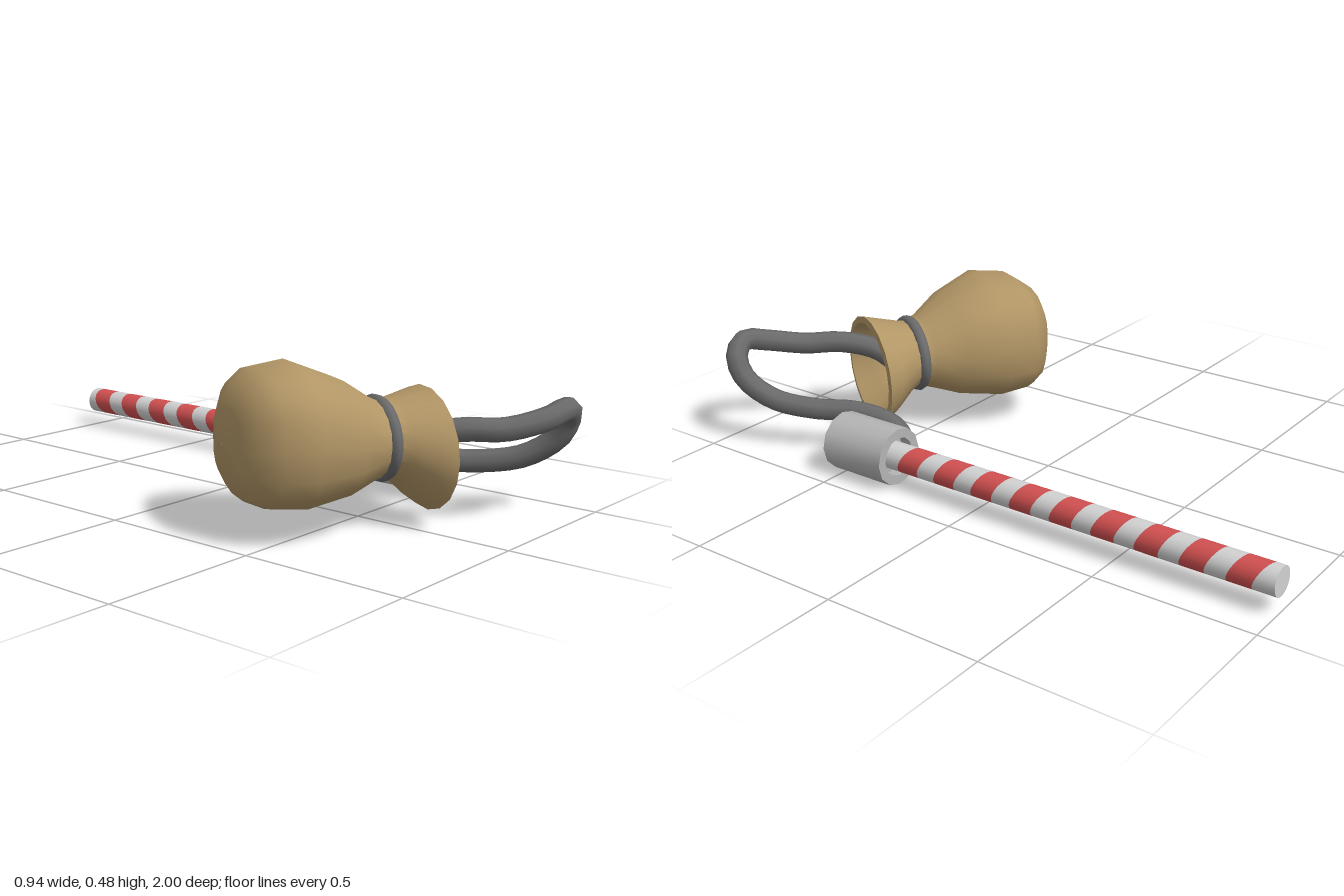
import * as THREE from 'three';
import { toCreasedNormals } from 'three/addons/utils/BufferGeometryUtils.js';

const mat = (name, color, side = THREE.FrontSide) => {
  const m = new THREE.MeshStandardMaterial({ color, side });
  m.name = name;
  return m;
};

function part(parent, name, geometry, material) {
  const mesh = new THREE.Mesh(geometry, material);
  mesh.name = name;
  parent.add(mesh);
  return mesh;
}

// Skin over rounded-square sections along x: [x, centreY, halfHeight, halfWidth, exponent]
function loft(sections, sides) {
  const pos = [], index = [];
  for (const [x, cy, ry, rz, n] of sections) {
    for (let j = 0; j < sides; j++) {
      const a = (j / sides) * Math.PI * 2;
      const bend = (t) => Math.sign(t) * Math.pow(Math.abs(t), 2 / n);
      pos.push(x, cy + ry * bend(Math.sin(a)), rz * bend(Math.cos(a)));
    }
  }
  for (let i = 0; i < sections.length - 1; i++) {
    for (let j = 0; j < sides; j++) {
      const k = (j + 1) % sides;
      const a = i * sides + j, b = i * sides + k, c = a + sides, d = b + sides;
      index.push(a, c, b, b, c, d);
    }
  }
  const g = new THREE.BufferGeometry();
  g.setAttribute('position', new THREE.Float32BufferAttribute(pos, 3));
  g.setIndex(index);
  return toCreasedNormals(g, 0.9);
}

// Rod band between two z positions; each end can be cut on a slant
function band(r, z0, z1, slant0, slant1, open) {
  const g = new THREE.CylinderGeometry(r, r, 1, 20, 1, open).rotateX(Math.PI / 2);
  const p = g.attributes.position;
  for (let i = 0; i < p.count; i++) {
    const x = p.getX(i), y = p.getY(i);
    const shift = (0.012 * x - 0.018 * y) / r;
    p.setZ(i, p.getZ(i) < 0 ? z0 + slant0 * shift : z1 + slant1 * shift);
  }
  return g;
}

export function createModel() {
  const model = new THREE.Group();
  model.name = 'stripedRodWithPouch';
  const tan = mat('tanCloth', 0xb29666, THREE.DoubleSide);
  const cordGrey = mat('cordGrey', 0x6a6a6a);
  const capGrey = mat('capGrey', 0xb5b5b5);
  const white = mat('rodWhite', 0xd2d2d2);
  const red = mat('rodRed', 0xd25050);

  // Striped rod
  const rod = new THREE.Group();
  rod.name = 'rod';
  rod.position.set(0.37, 0.094, 0);
  model.add(rod);
  const pitch = 0.141, half = 0.038, count = 9;
  let front = 0.345;
  for (let i = 0; i < count; i++) {
    const c = 0.215 - i * pitch;
    part(rod, 'whiteBand', band(0.044, c + half, front, 1, i ? 1 : 0, true), white);
    part(rod, 'redBand', band(0.044, c - half, c + half, 1, 1, true), red);
    front = c - half;
  }
  part(rod, 'rodTip', band(0.044, -1, front, 0, 1, false), white);

  // End cap with a shallow socket for the rod
  const profile = [[0, 0.34], [0.062, 0.34], [0.062, 0.3], [0.092, 0.3], [0.092, 0.53], [0, 0.53]]
    .map(([x, y]) => new THREE.Vector2(x, y));
  const capGeo = new THREE.LatheGeometry(profile, 12).rotateX(Math.PI / 2);
  const cap = part(model, 'endCap', toCreasedNormals(capGeo, 0.9), capGrey);
  cap.position.set(0.37, 0.093, 0);

  // Cord from the pouch mouth round to the back of the cap
  const path = new THREE.CatmullRomCurve3([
    [0, 0.21, 0.62], [0.035, 0.26, 0.68], [0.1, 0.285, 0.78], [0.18, 0.285, 0.87],
    [0.28, 0.31, 0.945], [0.36, 0.33, 0.965], [0.415, 0.295, 0.945], [0.42, 0.23, 0.91],
    [0.385, 0.165, 0.82], [0.325, 0.14, 0.7], [0.26, 0.138, 0.57], [0.237, 0.118, 0.45],
    [0.265, 0.085, 0.37], [0.32, 0.075, 0.36],
  ].map((p) => new THREE.Vector3(...p)));
  part(model, 'cord', new THREE.TubeGeometry(path, 40, 0.035, 8), cordGrey);
  const startCap = part(model, 'cordEnd', new THREE.SphereGeometry(0.035, 8, 6), cordGrey);
  startCap.position.set(0, 0.21, 0.62);

  // Pouch, lying with its mouth toward the front left
  const pouch = new THREE.Group();
  pouch.name = 'pouch';
  pouch.position.set(-0.02, 0, 0.58);
  pouch.rotation.y = -0.5;
  model.add(pouch);
  part(pouch, 'pouchBody', loft([
    [-0.47, 0.27, 0.002, 0.002, 2.6],
    [-0.457, 0.27, 0.1, 0.11, 2.8],
    [-0.425, 0.275, 0.16, 0.165, 2.8],
    [-0.37, 0.282, 0.19, 0.218, 2.7],
    [-0.27, 0.285, 0.203, 0.238, 2.5],
    [-0.13, 0.268, 0.165, 0.197, 2.3],
    [-0.04, 0.254, 0.122, 0.142, 2],
    [0, 0.252, 0.108, 0.126, 2],
    [0.04, 0.245, 0.122, 0.148, 2],
    [0.095, 0.226, 0.155, 0.185, 2],
    [0.145, 0.214, 0.18, 0.213, 2],
    [0.148, 0.214, 0.158, 0.19, 2],
    [0.09, 0.228, 0.132, 0.162, 2],
    [0.02, 0.248, 0.095, 0.115, 2],
    [-0.05, 0.252, 0.09, 0.105, 2],
    [-0.055, 0.252, 0.002, 0.002, 2],
  ], 18), tan);

  // Cord tied round the neck
  const tie = part(pouch, 'neckTie',
    new THREE.TorusGeometry(0.128, 0.019, 8, 24).rotateY(Math.PI / 2), cordGrey);
  tie.position.set(-0.005, 0.252, 0);
  tie.scale.set(1, 0.85, 1);

  return model;
}
